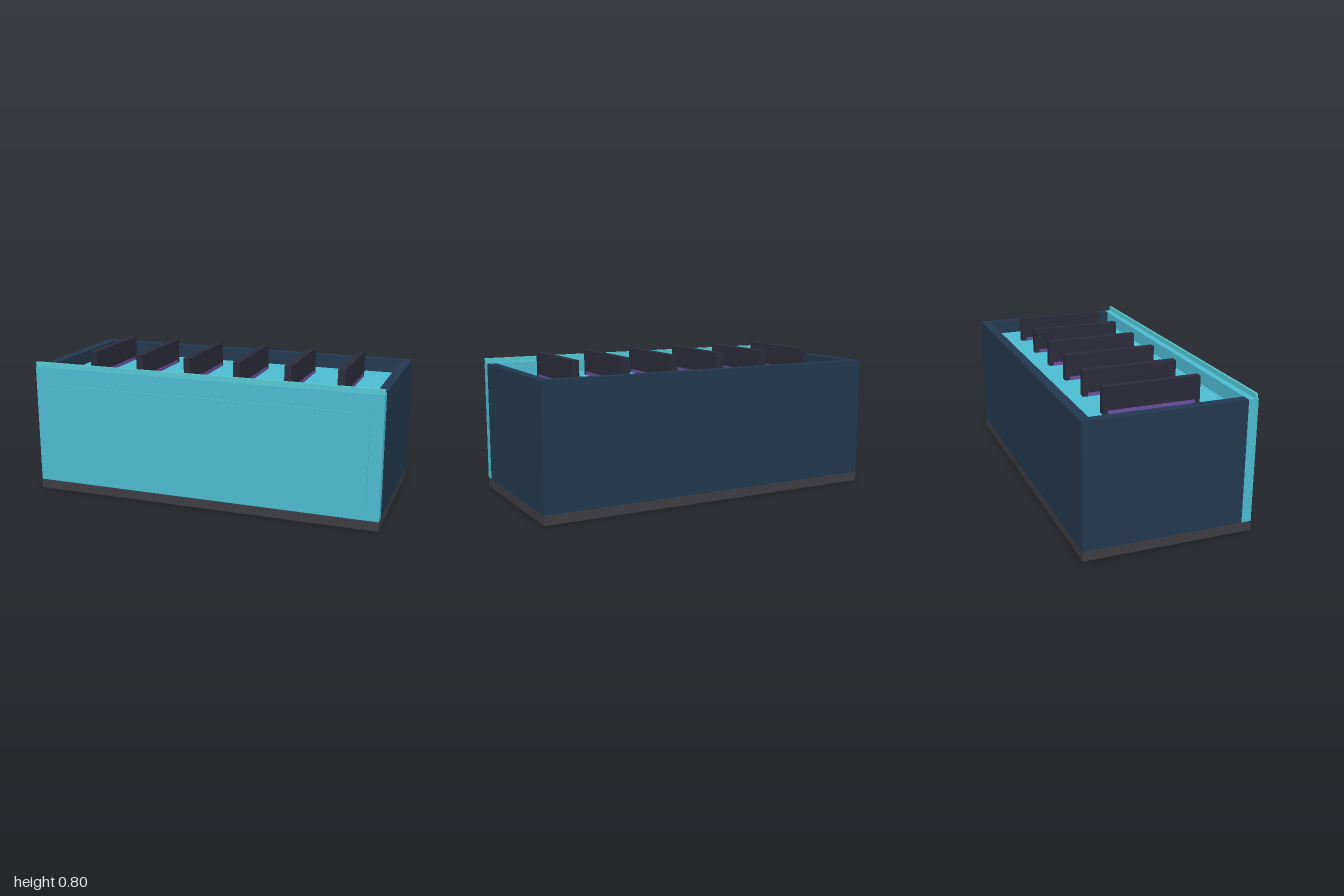
import * as THREE from 'three';

const material = (color) => new THREE.MeshStandardMaterial({ color });

export function createModel() {
  const group = new THREE.Group();
  const navy = material(0x22384f);
  const cyan = material(0x4cbbd1);
  const lipCyan = material(0x55c8d2);
  const grey = material(0x3c3c42);
  const dark = material(0x2b2b3a);
  const purple = material(0x6b4fa0);

  // Box given by its minimum and maximum along each axis
  function block(name, mat, [x0, x1], [y0, y1], [z0, z1], parent = group) {
    const mesh = new THREE.Mesh(new THREE.BoxGeometry(x1 - x0, y1 - y0, z1 - z0), mat);
    mesh.position.set((x0 + x1) / 2, (y0 + y1) / 2, (z0 + z1) / 2);
    mesh.name = name;
    parent.add(mesh);
    return mesh;
  }

  const baseTop = 0.053, rim = 0.733, floorTop = 0.655;
  const back = -0.47, front = 0.465, panelBack = 0.41, wall = 0.052;

  // Base and open-topped case
  block('base', grey, [-1, 1], [0, baseTop], [back, front]);
  block('backWall', navy, [-1, 1], [baseTop, rim], [back, back + wall]);
  block('leftWall', navy, [1 - wall, 1], [baseTop, rim], [back + wall, panelBack]);
  block('rightWall', navy, [-1, -1 + wall], [baseTop, rim], [back + wall, panelBack]);
  block('innerDeck', cyan, [-1 + wall, 1 - wall], [baseTop, floorTop], [back + wall, panelBack]);

  // Front panel with raised plate and top lip
  block('frontPanel', cyan, [-1, 1], [baseTop, rim], [panelBack, front]);
  block('frontPlate', cyan, [-0.93, 0.93], [0.1, 0.633], [front, 0.47]);
  block('frontLip', lipCyan, [-1, 1], [rim, 0.76], [0.446, 0.459]);

  // Row of upright dividers with coloured strips at the foot
  for (let i = 0; i < 6; i++) {
    const divider = new THREE.Group();
    divider.name = 'divider' + (i + 1);
    divider.position.x = (i - 2.5) * 0.2935;
    block('dividerPlate', dark, [-0.02, 0.02], [floorTop, 0.8], [-0.27, 0.265], divider);
    block('dividerStrip', purple, [-0.022, 0.022], [floorTop, 0.675], [-0.243, 0.238], divider);
    group.add(divider);
  }

  return group;
}
